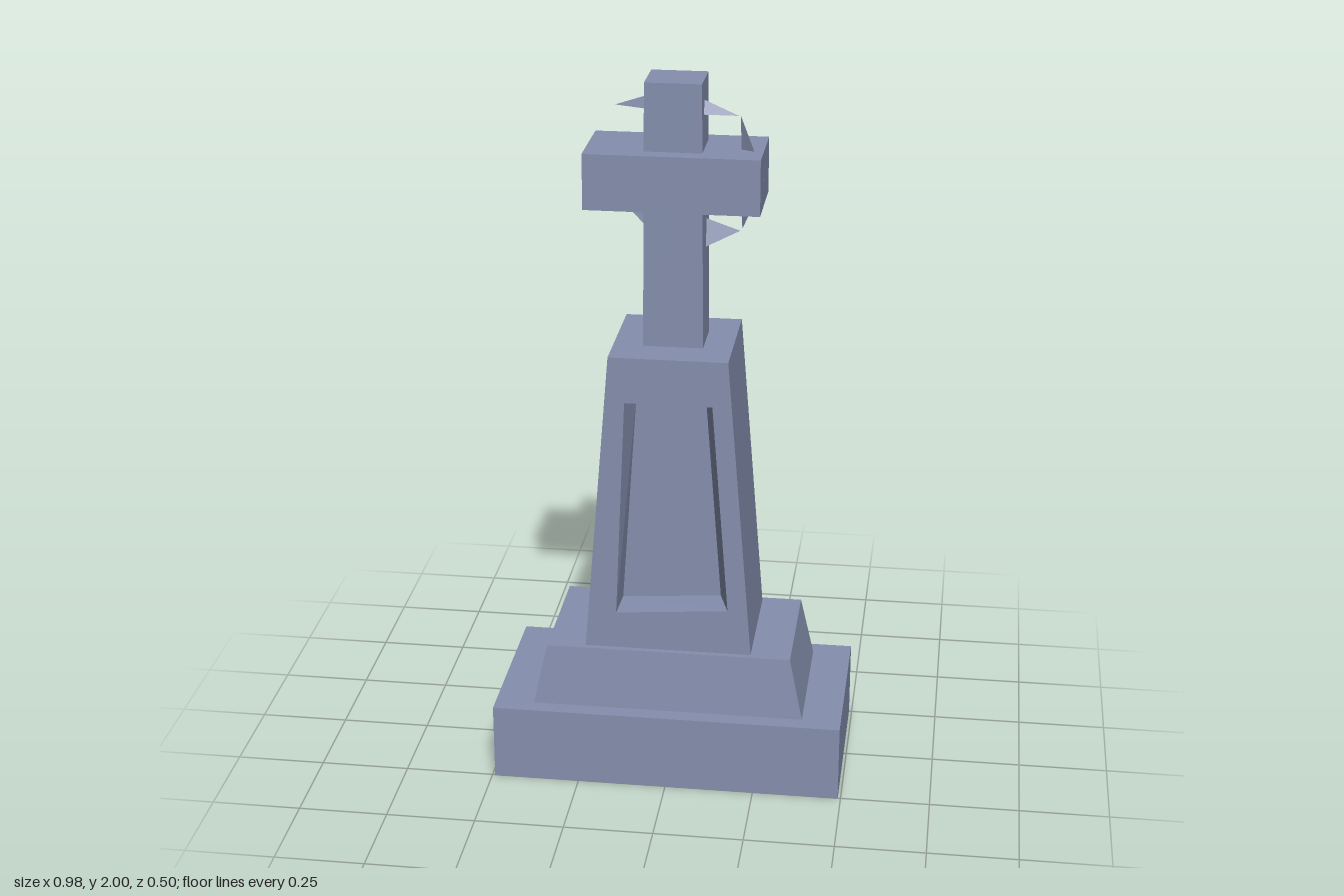
import * as THREE from 'three';

export function createModel() {
  const group = new THREE.Group();
  const stone = new THREE.MeshStandardMaterial({ color: 0x858fae, flatShading: true, side: THREE.DoubleSide });
  stone.name = 'blueGreyStone';

  function add(name, geometry, z = 0) {
    const mesh = new THREE.Mesh(geometry, stone);
    mesh.name = name;
    mesh.position.z = z;
    group.add(mesh);
  }

  // Box between two heights whose top is scaled in x and z
  function block(name, w, d, y0, y1, topX = 1, topZ = 1) {
    const g = new THREE.BoxGeometry(w, y1 - y0, d).translate(0, (y0 + y1) / 2, 0);
    const p = g.attributes.position;
    for (let i = 0; i < p.count; i++) {
      if (p.getY(i) > (y0 + y1) / 2) p.setXYZ(i, p.getX(i) * topX, p.getY(i), p.getZ(i) * topZ);
    }
    g.computeVertexNormals();
    add(name, g);
  }

  const shape = (pts) => new THREE.Shape(pts.map(([x, y]) => new THREE.Vector2(x, y)));

  // Stepped base
  block('plinth', 0.984, 0.504, 0, 0.22);
  block('slopedStep', 0.765, 0.412, 0.22, 0.397, 0.9, 0.915);

  // Tapered body: a solid back with a framed, slightly skewed recess in front
  const outline = [[-0.236, 0.397], [0.232, 0.397], [0.162, 1.27], [-0.164, 1.27]];
  const opening = [[-0.148, 0.505], [0.166, 0.53], [0.12, 1.14], [-0.12, 1.14]];
  const recessBack = [[-0.143, 0.507], [0.136, 0.527], [0.09, 1.14], [-0.1, 1.14]];
  const half = 0.172, depth = 0.1;

  add('bodyBack', new THREE.ExtrudeGeometry(shape(outline), { depth: 2 * half - depth, bevelEnabled: false }), -half);

  const frameShape = shape(outline);
  frameShape.holes.push(shape(opening));
  const frame = new THREE.ExtrudeGeometry(frameShape, { depth, bevelEnabled: false });
  const fp = frame.attributes.position;
  for (let i = 0; i < fp.count; i++) {
    if (fp.getZ(i) > 0.001) continue;
    const k = opening.findIndex(([x, y]) => Math.hypot(fp.getX(i) - x, fp.getY(i) - y) < 0.001);
    if (k >= 0) fp.setXY(i, ...recessBack[k]);
  }
  frame.computeVertexNormals();
  add('recessFrame', frame, half - depth);

  // Cross
  block('crossPost', 0.164, 0.142, 1.27, 2, 0.93, 0.98);
  block('crossArm', 0.472, 0.23, 1.662, 1.815);

  // Thin shards of the ring around the crossing
  const shards = {
    ringUpperLeft: [[-0.17, 1.91, -0.038], [-0.07, 1.91, -0.002], [-0.07, 1.948, -0.015]],
    ringUpperRight: [[0.17, 1.91, 0.034], [0.07, 1.948, 0.015], [0.07, 1.91, 0.034]],
    ringRightTop: [[0.175, 1.91, 0.035], [0.175, 1.8, 0.015], [0.24, 1.74, 0.035]],
    ringRightBottom: [[0.175, 1.58, -0.03], [0.24, 1.74, 0.03], [0.175, 1.72, 0.02]],
    ringLowerRight: [[0.17, 1.575, -0.03], [0.07, 1.613, -0.02], [0.07, 1.532, 0.004]],
    ringLowerLeft: [[-0.175, 1.67, -0.03], [-0.07, 1.575, 0], [-0.07, 1.67, -0.015]],
    ringLeftTip: [[-0.241, 1.74, -0.038], [-0.22, 1.75, -0.036], [-0.22, 1.73, -0.036]],
  };
  for (const [name, pts] of Object.entries(shards)) {
    const g = new THREE.BufferGeometry();
    g.setAttribute('position', new THREE.Float32BufferAttribute(pts.flat(), 3));
    g.computeVertexNormals();
    add(name, g);
  }
  return group;
}
